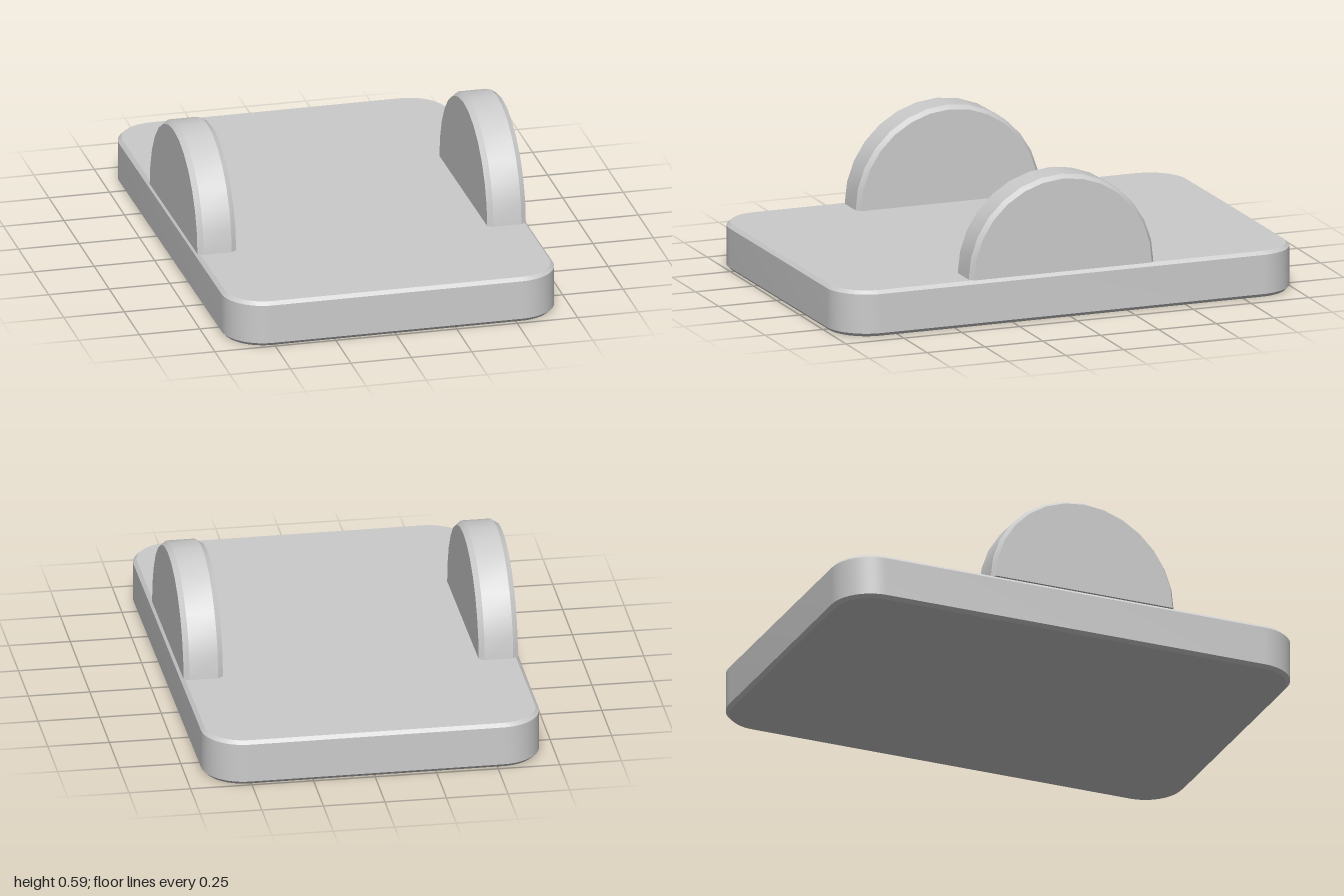
import * as THREE from 'three';
import { toCreasedNormals } from 'three/addons/utils/BufferGeometryUtils.js';

const material = new THREE.MeshStandardMaterial({ color: 0xcccccc });

// Rounded rectangle centred on the origin
function roundedRect(hw, hl, r) {
  const s = new THREE.Shape();
  s.moveTo(hw, -hl + r);
  s.absarc(hw - r, hl - r, r, 0, Math.PI / 2);
  s.absarc(-hw + r, hl - r, r, Math.PI / 2, Math.PI);
  s.absarc(-hw + r, -hl + r, r, Math.PI, Math.PI * 1.5);
  s.absarc(hw - r, -hl + r, r, Math.PI * 1.5, Math.PI * 2);
  return s;
}

function addMesh(parent, name, geometry) {
  const mesh = new THREE.Mesh(geometry, material);
  mesh.name = name;
  parent.add(mesh);
  return mesh;
}

// Half disc standing on its diameter, with chamfered rims; axis along x
function makeLug(name) {
  const r = 0.4, h = 0.08, bevelR = 0.015, bevelX = 0.022;
  const profile = [[0, -h], [r - bevelR, -h], [r, -h + bevelX], [r, h - bevelX], [r - bevelR, h], [0, h]]
    .map(([x, y]) => new THREE.Vector2(x, y));
  const lug = new THREE.Group();
  lug.name = name;
  const shell = new THREE.LatheGeometry(profile, 14, 0, Math.PI).rotateZ(Math.PI / 2);
  addMesh(lug, name + 'Shell', toCreasedNormals(shell, 0.45));

  // Flat underside
  const right = profile.map((p) => new THREE.Vector2(p.y, p.x)).slice(1, 5);
  const outline = [...right, ...right.map((p) => new THREE.Vector2(-p.x, -p.y))];
  addMesh(lug, name + 'Base', new THREE.ShapeGeometry(new THREE.Shape(outline)).rotateX(Math.PI / 2));
  return lug;
}

export function createModel() {
  const model = new THREE.Group();
  model.name = 'basePlateWithLugs';

  // Everything sits at a very slight turn about the vertical axis
  const body = new THREE.Group();
  body.name = 'body';
  body.rotation.y = 0.007;
  model.add(body);

  // Base plate with rounded corners and a small chamfer top and bottom
  const bevel = 0.014, height = 0.19;
  const plate = new THREE.ExtrudeGeometry(roundedRect(0.686 - bevel, 0.995 - bevel, 0.17 - bevel), {
    depth: height - 2 * bevel,
    bevelEnabled: true,
    bevelSize: bevel,
    bevelThickness: bevel,
    bevelSegments: 1,
    curveSegments: 8,
  });
  plate.rotateX(-Math.PI / 2).translate(0, bevel, 0);
  addMesh(body, 'basePlate', toCreasedNormals(plate, 0.45));

  // Pair of half-disc lugs along the long edges
  for (const side of [-1, 1]) {
    const lug = makeLug(side > 0 ? 'leftLug' : 'rightLug');
    lug.position.set(side * 0.6 - 0.0025, height, 0.038);
    body.add(lug);
  }
  return model;
}
